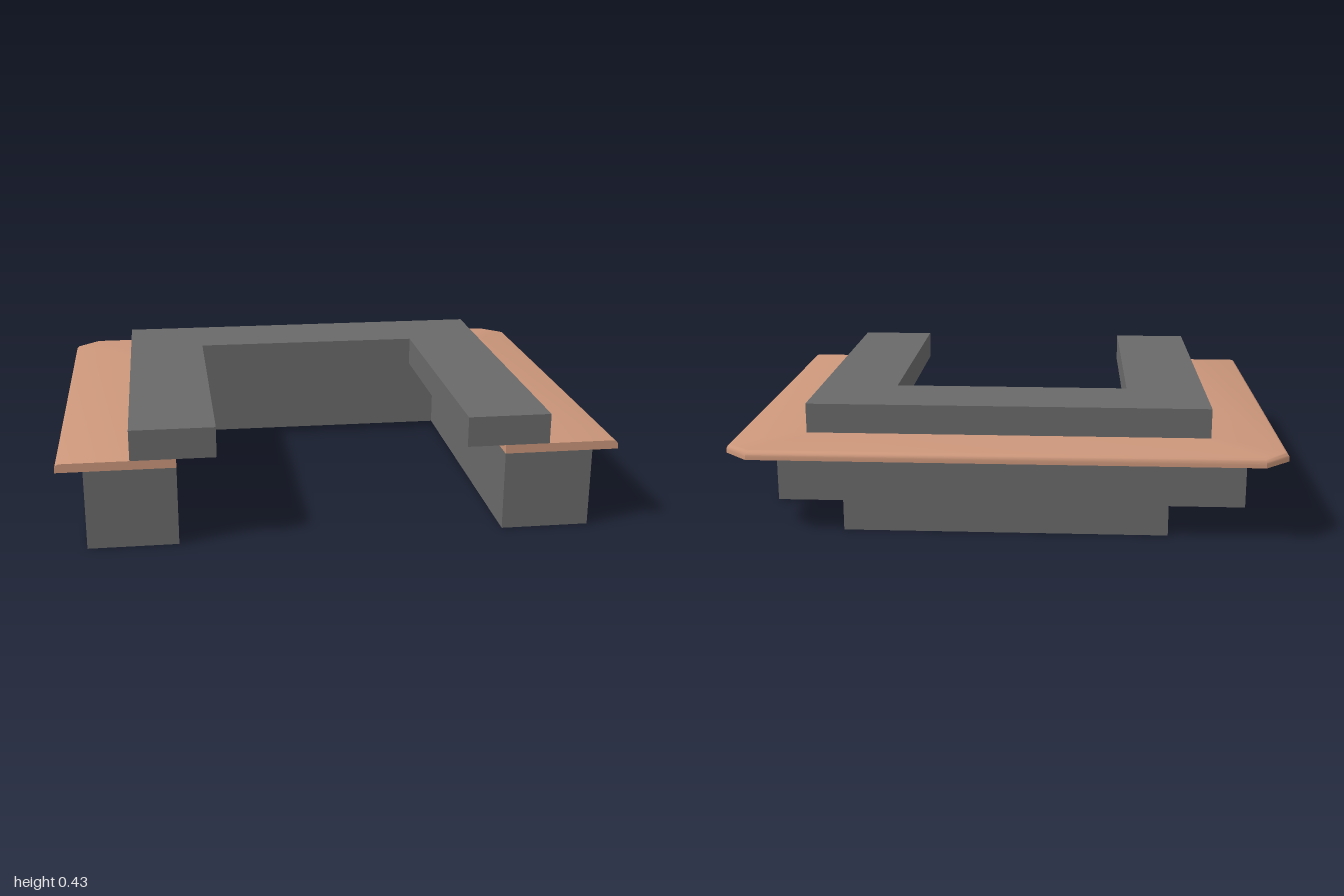
import * as THREE from 'three';
import { toCreasedNormals } from 'three/addons/utils/BufferGeometryUtils.js';

const grey = new THREE.MeshStandardMaterial({ color: 0x696969 });
const copper = new THREE.MeshStandardMaterial({ color: 0xcb967a });
const brown = new THREE.MeshStandardMaterial({ color: 0x5c4033 });

// The right arm leans slightly inwards and stops a little short
function lean(geometry) {
  const p = geometry.attributes.position;
  for (let i = 0; i < p.count; i++) {
    const x = p.getX(i), z = p.getZ(i);
    if (x < -0.3) {
      const t = Math.max(0, (z + 0.7) / 1.5);
      p.setXYZ(i, x + 0.01 * t, p.getY(i), z - 0.01 * t);
    }
  }
}

// Sharp-edged mesh whose triangles chosen by isBrown(normal, centre) are brown
function makeMesh(name, source, material, isBrown) {
  lean(source);
  const flat = source.index ? source.toNonIndexed() : source;
  const geometry = toCreasedNormals(flat, 0.7);
  geometry.clearGroups();
  const p = geometry.attributes.position;
  const tri = new THREE.Triangle(), n = new THREE.Vector3(), c = new THREE.Vector3();
  for (let i = 0; i < p.count; i += 3) {
    tri.setFromAttributeAndIndices(p, i, i + 1, i + 2);
    tri.getNormal(n);
    tri.getMidpoint(c);
    geometry.addGroup(i, 3, isBrown(n, c) ? 1 : 0);
  }
  const mesh = new THREE.Mesh(geometry, [material, brown]);
  mesh.name = name;
  return mesh;
}

const underside = (n) => n.y < -0.9;

// Upright block from a plan outline given as [x, z] points
function block(name, plan, y0, y1) {
  const shape = new THREE.Shape(plan.map(([x, z]) => new THREE.Vector2(x, -z)));
  const geometry = new THREE.ExtrudeGeometry(shape, { depth: y1 - y0, bevelEnabled: false });
  geometry.rotateX(-Math.PI / 2).translate(0, y0, 0);
  return makeMesh(name, geometry, grey, underside);
}

const rect = (x0, x1, z0, z1) => [[x0, z1], [x1, z1], [x1, z0], [x0, z0]];

// U-shaped counter slab with a rolled outer edge and clipped back corners
function counter() {
  const y0 = 0.288, y1 = 0.32, r = 0.02, inX = 0.586, inZ = -0.385;
  // Stations: outer point, inset direction, inner point (all x, z)
  const half = [
    [[1, 0.795], [-1, 0], [inX, 0.795]],
    [[1, -0.71], [-1, 0.41], [inX, inZ]],
    [[0.91, -0.795], [-0.41, 1], [inX, inZ]],
  ];
  const mirrored = half.map((s) => s.map(([x, z]) => [-x, z])).reverse();
  const sections = [...half, ...mirrored].map(([o, d, inner]) => {
    const ring = [[o[0], y0, o[1]]];
    for (let k = 0; k <= 5; k++) {
      const a = (k / 5) * Math.PI / 2, inset = r * (1 - Math.cos(a));
      ring.push([o[0] + d[0] * inset, y1 - r + r * Math.sin(a), o[1] + d[1] * inset]);
    }
    ring.push([inner[0], y1, inner[1]], [inner[0], y0, inner[1]]);
    return ring;
  });

  const n = sections[0].length, index = [];
  for (let i = 0; i < sections.length - 1; i++) {
    for (let j = 0; j < n; j++) {
      const a = i * n + j, d = i * n + (j + 1) % n;
      index.push(a, a + n, d + n, a, d + n, d);
    }
  }
  // End caps
  const last = (sections.length - 1) * n;
  for (let j = 1; j < n - 1; j++) {
    index.push(0, j, j + 1, last, last + j + 1, last + j);
  }
  const geometry = new THREE.BufferGeometry();
  geometry.setAttribute('position', new THREE.Float32BufferAttribute(sections.flat(2), 3));
  geometry.setIndex(index);
  // The underside and the inner back edge are dark
  return makeMesh('counterTop', geometry, copper,
    (v, c) => underside(v) || (v.z > 0.9 && c.z < 0));
}

export function createModel() {
  const model = new THREE.Group();
  model.name = 'counterUnit';

  // Base: two side legs and a back leg meeting corner to corner
  model.add(block('leftBase', rect(0.586, 0.905, -0.385, 0.795), 0, 0.288));
  model.add(block('rightBase', rect(-0.905, -0.586, -0.385, 0.795), 0, 0.288));
  model.add(block('backBase', rect(-0.586, 0.586, -0.703, -0.385), 0, 0.288));

  model.add(counter());

  // Raised U-shaped ledge, overhanging the inside of the counter
  const w = 0.745, i = 0.447, front = 0.795;
  model.add(block('raisedLedge', [
    [-w, front], [-i, front], [-i, -0.245], [i, -0.245],
    [i, front], [w, front], [w, -0.545], [-w, -0.545],
  ], 0.32, 0.43));

  return model;
}
